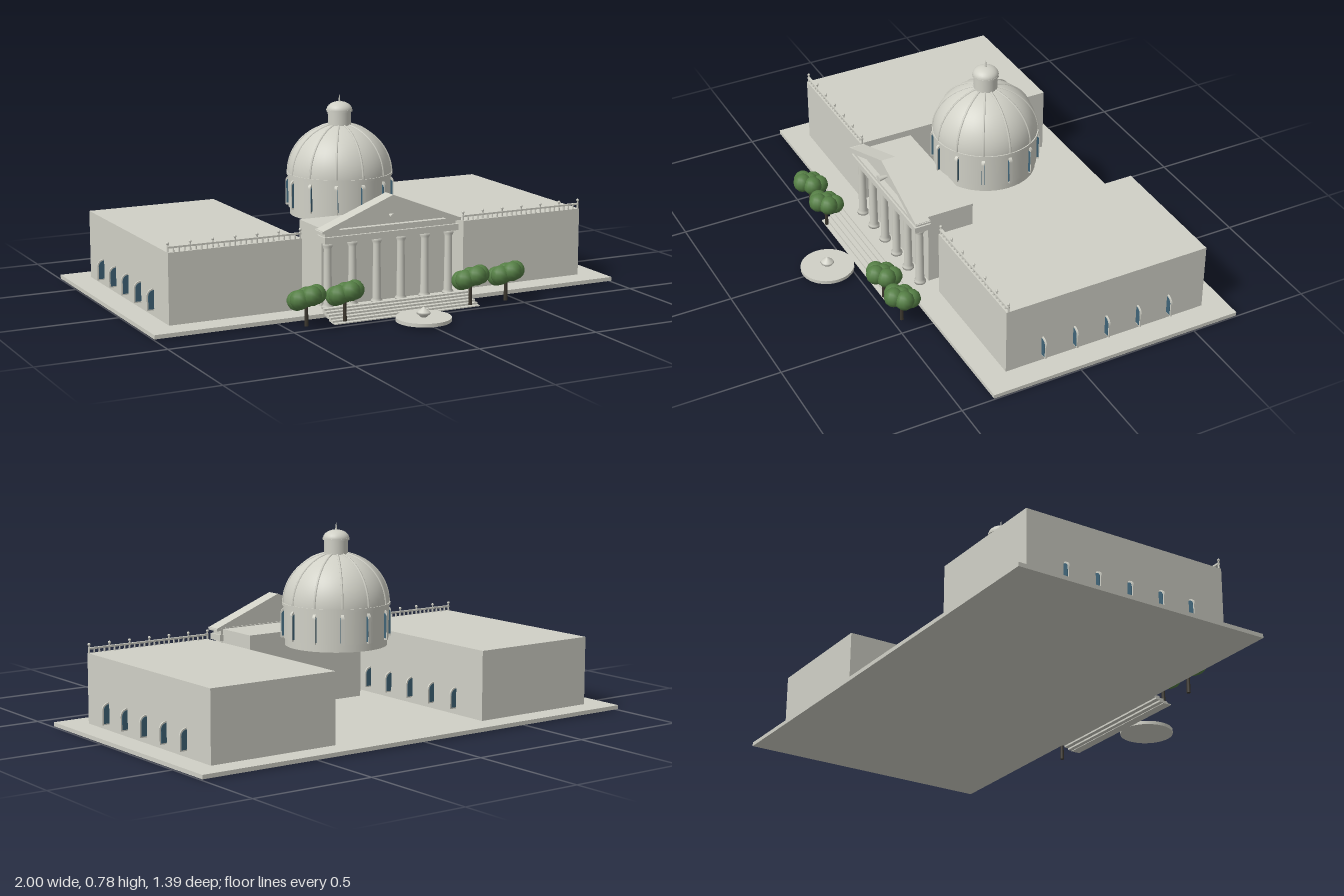
import * as THREE from 'three';

const mat = (name, color) => Object.assign(new THREE.MeshStandardMaterial({ color }), { name });

export function createModel() {
  const root = new THREE.Group();
  root.name = 'domedBuilding';
  const stone = mat('stone', 0xd0d0c6);
  const glass = mat('window blue', 0x3f6478);
  const leaf = mat('leaf green', 0x557f45);
  const bark = mat('dark bark', 0x3d382f);

  const add = (name, geo, m, x = 0, y = 0, z = 0, parent = root) => {
    const mesh = new THREE.Mesh(geo, m);
    mesh.name = name;
    mesh.position.set(x, y, z);
    parent.add(mesh);
    return mesh;
  };
  // Box given by its limits on each axis
  const box = (name, x0, x1, y0, y1, z0, z1, m = stone) =>
    add(name, new THREE.BoxGeometry(x1 - x0, y1 - y0, z1 - z0), m, (x0 + x1) / 2, (y0 + y1) / 2, (z0 + z1) / 2);
  const extrude = (shape, depth) =>
    new THREE.ExtrudeGeometry(shape, { depth, bevelEnabled: false, curveSegments: 8 });
  const poly = (pts) => new THREE.Shape(pts.map(([x, y]) => new THREE.Vector2(x, y)));
  const cyl = (rTop, rBottom, h, n = 16) => new THREE.CylinderGeometry(rTop, rBottom, h, n);

  // Upright arched plate, its foot at the origin
  const arch = (w, h, depth) => {
    const s = new THREE.Shape();
    s.moveTo(-w / 2, 0);
    s.lineTo(w / 2, 0);
    s.lineTo(w / 2, h - w / 2);
    s.absarc(0, h - w / 2, w / 2, 0, Math.PI, false);
    s.closePath();
    return extrude(s, depth).translate(0, 0, -depth / 2);
  };
  const frameGeo = arch(0.058, 0.085, 0.006);
  const paneGeo = arch(0.046, 0.074, 0.009);

  // Plinth
  box('plinth', -1, 1, 0.004, 0.02, -0.693, 0.368);

  // Wings with side windows and a front balustrade
  for (const side of [-1, 1]) {
    const wing = box(side > 0 ? 'leftWing' : 'rightWing', -0.2735, 0.2735, 0.02, 0.297, -0.597, 0.267);
    wing.position.x = side * 0.6285;
    for (const z of [0.112, -0.024, -0.162, -0.3, -0.437]) {
      for (const x of [0.355, 0.902]) {
        add('windowFrame', frameGeo, stone, side * x, 0.044, z);
        add('windowPane', paneGeo, glass, side * x, 0.049, z);
      }
    }
    const rail = box('balustradeRail', -0.273, 0.273, 0.312, 0.319, 0.253, 0.264);
    rail.position.x = side * 0.6285;
    for (let i = 0; i <= 24; i++) {
      const x = side * (0.358 + i * 0.02255);
      const post = i % 4 === 0;
      add(post ? 'balustradePost' : 'baluster', cyl(0.003, 0.004, post ? 0.032 : 0.016, 8), stone,
        x, post ? 0.313 : 0.305, 0.2585);
      if (post) add('postBall', new THREE.SphereGeometry(0.006, 8, 6), stone, x, 0.331, 0.2585);
    }
  }

  // Central hall behind the portico
  box('centralHall', -0.275, 0.275, 0.02, 0.328, 0.077, 0.272);

  // Portico columns
  const columnProfile = [[0, 0], [0.023, 0], [0.023, 0.01], [0.017, 0.018], [0.0145, 0.235],
    [0.02, 0.247], [0.02, 0.26], [0, 0.26]].map(([r, y]) => new THREE.Vector2(r, y));
  const columnGeo = new THREE.LatheGeometry(columnProfile, 16);
  for (let i = 0; i < 6; i++) add('column', columnGeo, stone, -0.265 + i * 0.106, 0.02, 0.305);

  // Entablature and pediment
  box('entablature', -0.292, 0.292, 0.28, 0.305, 0.268, 0.336);
  box('frieze', -0.285, 0.285, 0.305, 0.32, 0.27, 0.325);
  box('pedimentCornice', -0.302, 0.302, 0.32, 0.331, 0.275, 0.338);
  add('tympanum', extrude(poly([[-0.27, 0.328], [0.27, 0.328], [0, 0.432]]), 0.035), stone, 0, 0, 0.28);
  add('rakingCornice', extrude(poly([[-0.305, 0.328], [-0.245, 0.328], [0, 0.424], [0.245, 0.328],
    [0.305, 0.328], [0, 0.447]]), 0.061), stone, 0, 0, 0.277);
  const emblem = add('pedimentRoundel', cyl(0.018, 0.006, 0.04), stone, 0, 0.366, 0.333);
  emblem.rotation.x = Math.PI / 2;
  emblem.scale.z = 0.6;

  // Front steps
  const steps = 6;
  for (let i = 0; i < steps; i++) {
    const y = 0.04 - i * 0.0072, z = 0.36 + i * 0.0185;
    box('step', -0.315, 0.315, Math.max(0, y - 0.016), y, z, z + 0.0185);
  }

  // Drum with windows set around it
  const dome = new THREE.Group();
  dome.name = 'dome';
  dome.position.z = -0.123;
  root.add(dome);
  const ring = (name, r, y0, y1) => add(name, cyl(r, r, y1 - y0, 48), stone, 0, (y0 + y1) / 2, 0, dome);
  ring('drumFoot', 0.202, 0.295, 0.325);
  ring('drum', 0.208, 0.325, 0.458);
  ring('drumCornice', 0.214, 0.455, 0.465);
  const drumFrame = arch(0.036, 0.118, 0.012), drumPane = arch(0.026, 0.1, 0.015);
  const ribGeo = new THREE.TorusGeometry(0.21, 0.0045, 6, 20, Math.PI * 0.44);
  for (let i = 0; i < 12; i++) {
    const spoke = new THREE.Group();
    spoke.name = 'drumBay';
    spoke.rotation.y = i * Math.PI / 6;
    dome.add(spoke);
    add('drumWindowFrame', drumFrame, stone, 0.201, 0.326, 0, spoke);
    add('drumWindowPane', drumPane, glass, 0.203, 0.333, 0, spoke);
    add('domeRib', ribGeo, stone, 0, 0.46, 0, spoke).scale.y = 0.955;
  }
  const shell = new THREE.SphereGeometry(0.21, 48, 20, 0, Math.PI * 2, 0, Math.PI / 2);
  add('domeShell', shell, stone, 0, 0.46, 0, dome).scale.y = 0.955;

  // Lantern and finial
  ring('lantern', 0.047, 0.645, 0.715);
  ring('lanternCornice', 0.053, 0.71, 0.717);
  const cap = new THREE.SphereGeometry(0.052, 24, 10, 0, Math.PI * 2, 0, Math.PI / 2);
  add('lanternCap', cap, stone, 0, 0.716, 0, dome).scale.y = 0.65;
  add('finial', cyl(0.001, 0.005, 0.032, 8), stone, 0, 0.761, 0, dome);

  // Fountain
  add('fountainBasin', cyl(0.107, 0.107, 0.014, 40), stone, 0, 0.015, 0.586);
  const jet = [[0, 0], [0.012, 0], [0.027, 0.014], [0.024, 0.02], [0, 0.04]];
  add('fountainBowl', new THREE.LatheGeometry(jet.map(([r, y]) => new THREE.Vector2(r, y)), 16), stone, 0, 0.022, 0.586);

  // Trees: a trunk under a tilted ring of leafy balls
  const ballGeo = new THREE.SphereGeometry(0.038, 12, 9);
  for (const x of [-0.433, -0.273, 0.273, 0.433]) {
    const tree = new THREE.Group();
    tree.name = 'tree';
    tree.position.set(x, 0, 0.467);
    root.add(tree);
    add('trunk', cyl(0.006, 0.008, 0.1, 8), bark, 0, 0.06, 0, tree);
    add('foliage', ballGeo, leaf, 0, 0.122, 0, tree);
    for (let i = 0; i < 5; i++) {
      const a = i * Math.PI * 0.4 + 0.15;
      const dx = Math.cos(a) * 0.039, dz = Math.sin(a) * 0.036;
      add('foliage', ballGeo, leaf, dx, 0.119 + dx * 0.2 + dz * 0.35, dz, tree);
    }
  }
  return root;
}
